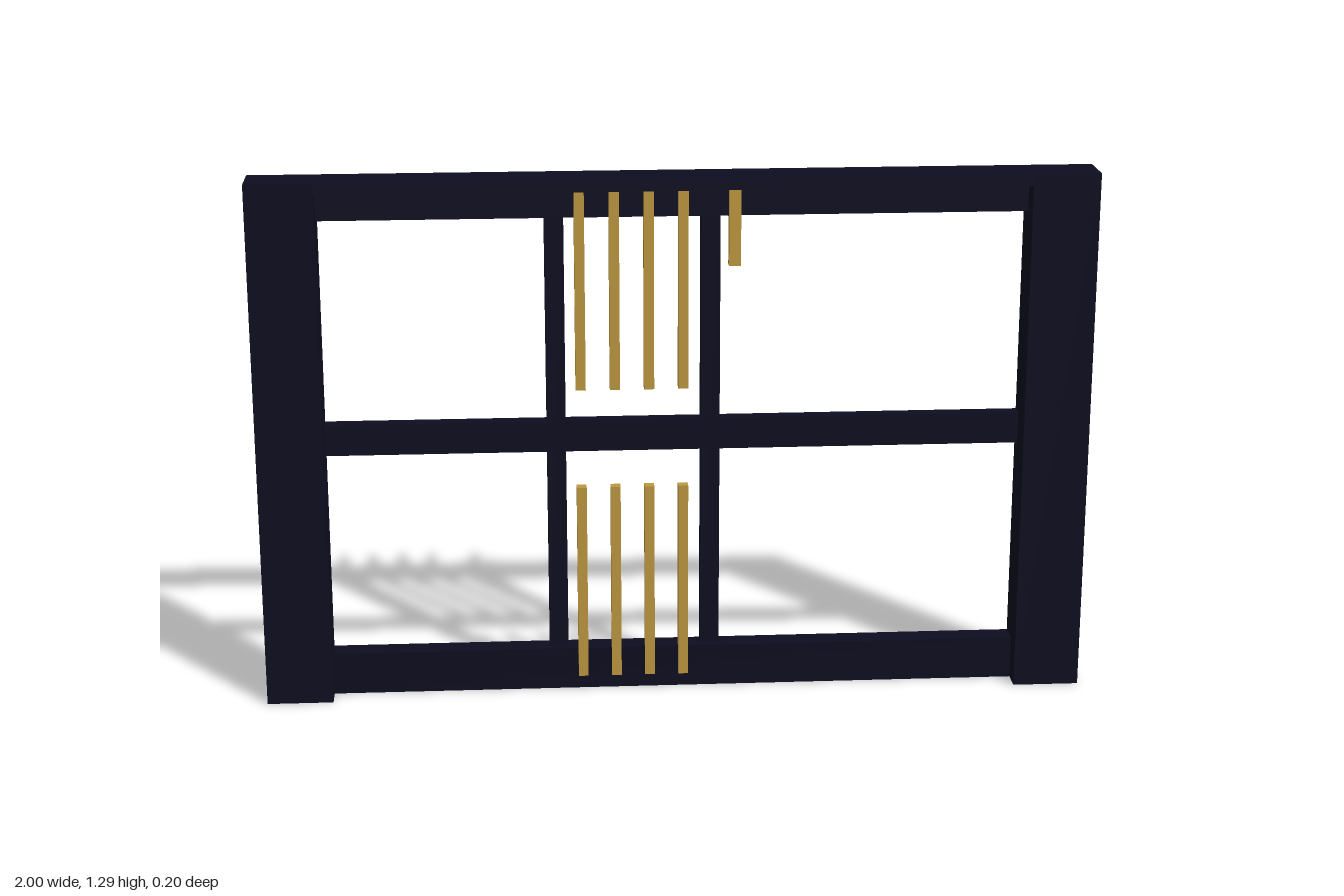
import * as THREE from 'three';

export function createModel() {
  const model = new THREE.Group();
  const navy = new THREE.MeshStandardMaterial({ color: 0x0d0d20 });
  navy.name = 'dark navy';
  const gold = new THREE.MeshStandardMaterial({ color: 0xbe9840 });
  gold.name = 'gold';

  // Box given by its minimum and maximum on each axis
  function box(name, material, [x0, x1], [y0, y1], [z0, z1]) {
    const mesh = new THREE.Mesh(new THREE.BoxGeometry(x1 - x0, y1 - y0, z1 - z0), material);
    mesh.position.set((x0 + x1) / 2, (y0 + y1) / 2, (z0 + z1) / 2);
    mesh.name = name;
    model.add(mesh);
  }

  const top = 1.29, back = -0.01, front = 0.1;
  const railDepth = [back, 0.045], barDepth = [back, 0.024];

  // Outer frame: deep side posts, recessed rails, thin cap over the top
  box('rightPost', navy, [-1, -0.84], [0, top], [back, front]);
  box('leftPost', navy, [0.84, 1], [0, top], [back, front]);
  box('topCap', navy, [-0.84, 0.84], [1.262, top], [back, front]);
  box('topRail', navy, [-0.84, 0.84], [1.19, 1.262], railDepth);
  box('bottomRail', navy, [-0.84, 0.84], [0, 0.105], railDepth);

  // Glazing bars
  box('middleRail', navy, [-0.84, 0.84], [0.608, 0.685], barDepth);
  box('rightMullion', navy, [-0.308, -0.262], [0.105, 1.19], barDepth);
  box('leftMullion', navy, [0.064, 0.11], [0.105, 1.19], barDepth);

  // Gold handle: upright rod with pegs running out through the back
  function handle(name, x, width, y0, y1, pegHeights) {
    box(name + 'Rod', gold, [x - width / 2, x + width / 2], [y0, y1], [0.03, 0.056]);
    for (const y of pegHeights) {
      box(name + 'Peg', gold, [x - 0.009, x + 0.009], [y - 0.009, y + 0.009], [-0.1, 0.035]);
    }
  }

  for (const x of [-0.226, -0.144, -0.062, 0.02]) {
    handle('upperHandle', x, 0.024, 0.77, 1.26, [1.261]);
    handle('lowerHandle', x, 0.024, 0.035, 0.525, [0.033]);
  }
  handle('shortHandle', 0.142, 0.028, 1.07, 1.26, [1.261, 1.18]);

  return model;
}
